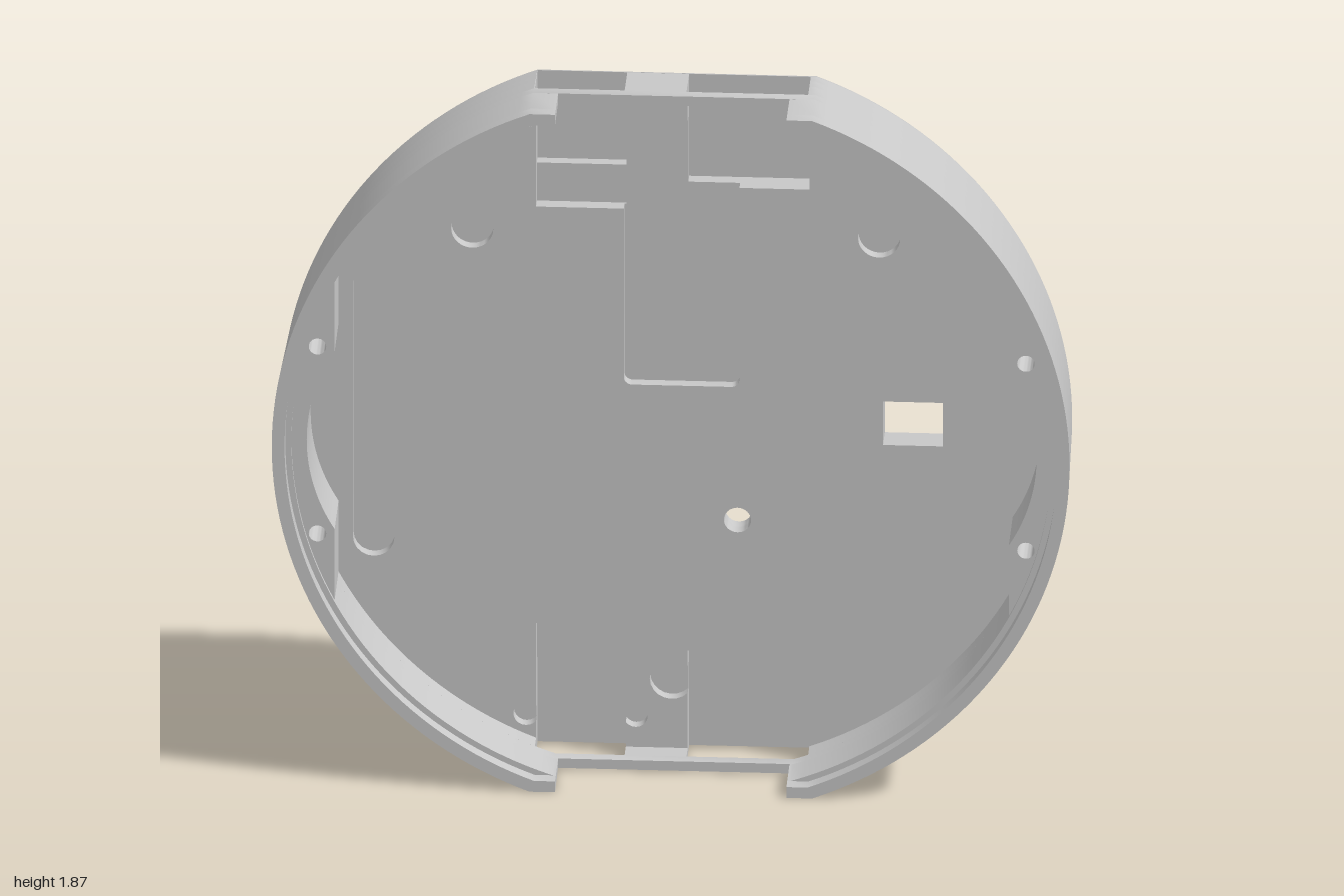
import * as THREE from 'three';
import { toCreasedNormals } from 'three/addons/utils/BufferGeometryUtils.js';

const C = 0.935;                 // height of the disc centre
const TOP = 2 * C;
const BACK = -0.146, FRONT = 0.146, FLOOR = -0.07;
const CORNER = Math.acos(0.354); // where the round side meets the flat
const deg = Math.PI / 180;

const arc = (cx, cy, r, a0, a1, n = 16) =>
  Array.from({ length: n + 1 }, (_, i) => {
    const a = a0 + ((a1 - a0) * i) / n;
    return [cx + r * Math.cos(a), cy + r * Math.sin(a)];
  });
const toPath = (pts, Type = THREE.Path) => new Type(pts.map(([x, y]) => new THREE.Vector2(x, y)));
const circle = (x, y, r) => arc(x, y, r, 0, 2 * Math.PI, 32).slice(0, -1);
const rect = (x0, y0, x1, y1) => [[x0, y0], [x1, y0], [x1, y1], [x0, y1]];
const slot = (x, y0, y1, r) => [
  ...arc(x, y0 + r, r, Math.PI, 2 * Math.PI, 10), ...arc(x, y1 - r, r, 0, Math.PI, 10)];

// Disc with two flats; extra points notch the top (right to left) and bottom (left to right)
const outline = (top = [], bottom = []) => [
  ...arc(0, C, 1, -CORNER, CORNER, 72), ...top,
  ...arc(0, C, 1, Math.PI - CORNER, Math.PI + CORNER, 72), ...bottom];

// One side of the wall, ending at x = xe on the flats
function wallSide(side, xe, ri) {
  const flat = 0.905;
  const a = xe < Math.sqrt(ri * ri - flat * flat) ? Math.asin(flat / ri) : Math.acos(xe / ri);
  const yi = ri * Math.sin(a);
  const pts = [...arc(0, C, 1, -CORNER, CORNER, 72), [xe, TOP], [xe, C + yi + 0.0005],
    ...arc(0, C, ri, a, -a, 72), [xe, C - yi - 0.0005], [xe, 0]];
  return pts.map(([x, y]) => [side * x, y]);
}

// Slight draft of the outer surface towards the back, with a tiny bevel on the back edge
function draft(geo) {
  const p = geo.attributes.position;
  for (let i = 0; i < p.count; i++) {
    const x = p.getX(i), y = p.getY(i), z = p.getZ(i);
    const k = 0.99 + (0.01 * (z - BACK)) / (FRONT - BACK) - (z < BACK + 0.001 ? 0.003 : 0);
    const onRound = Math.hypot(x, y - C) > 0.9995;
    const onFlat = Math.abs(y - C) > C - 0.0005;
    if (onRound) p.setX(i, x * k);
    if (onRound || onFlat) p.setY(i, C + (y - C) * k);
  }
  return geo;
}

export function createModel() {
  const group = new THREE.Group();
  const grey = new THREE.MeshStandardMaterial({ color: 0xc8c8c8 });
  grey.name = 'light grey plastic';

  function slab(name, pts, z0, z1, holes = []) {
    const shape = toPath(pts, THREE.Shape);
    shape.holes = holes.map((h) => toPath(h));
    const geo = new THREE.ExtrudeGeometry(shape, { depth: z1 - z0, bevelEnabled: false });
    geo.translate(0, 0, z0);
    const mesh = new THREE.Mesh(toCreasedNormals(draft(geo), 0.5), grey);
    mesh.name = name;
    group.add(mesh);
  }

  // Ventilation grooves on the back
  const grooves = [];
  const addGroove = (x, y0, y1) => grooves.push(slot(x, y0, y1, 0.022));
  const addSplit = (x, h, gap) => {
    if (!gap) return addGroove(x, C - h, C + h);
    addGroove(x, C - h, gap[0]);
    addGroove(x, gap[1], C + h);
  };
  for (let i = 0; i < 6; i++) {
    const x = 0.405 + 0.075 * i;
    const h = Math.min(0.79, Math.sqrt(0.94 * 0.94 - x * x));
    addSplit(x, h, i === 2 || i === 3 ? [0.85, 1.02] : null);
    addSplit(-x, h);
  }
  for (let i = 0; i < 10; i++) {
    addSplit(-0.336 + 0.0747 * i, 0.553, i === 6 || i === 7 ? [0.585, 0.745] : null);
  }

  // Holes shared by the plate layers
  const windowHole = rect(0.52, 0.88, 0.67, 1.0);
  const pinHole = circle(0.155, 0.663, 0.034);
  const screws = (r) => [1, -1].flatMap((s) => [1, -1].map((t) => circle(s * 0.888, C + t * 0.258, r)));

  // Connector pockets, open through the flats
  const topPockets = (yl) => [[0.335, TOP], [0.335, 1.58], [0.03, 1.58], [0.03, TOP],
    [-0.125, TOP], [-0.125, yl], [-0.35, yl], [-0.35, TOP]];
  const bottomPockets = (yl) => [[-0.35, 0], [-0.35, yl], [-0.125, yl], [-0.125, 0],
    [0.03, 0], [0.03, 0.3], [0.335, 0.3], [0.335, 0]];

  // Inner floor pockets, joined to the long channel and the finger recesses
  const floorTop = [[0.335, TOP], [0.335, 1.58], [0.16, 1.58], ...arc(0.14, 1.05, 0.02, 0, -90 * deg, 5),
    ...arc(-0.11, 1.05, 0.02, -90 * deg, -180 * deg, 5), [-0.13, 1.515], [-0.35, 1.515],
    ...arc(-0.375, 1.765, 0.032, 322 * deg, 38 * deg), [-0.35, TOP]];
  const floorBottom = [[-0.35, 0], ...arc(-0.375, 0.115, 0.032, 322 * deg, 38 * deg),
    [-0.35, 0.365], [-0.125, 0.365], ...arc(-0.1, 0.115, 0.03, 146 * deg, -146 * deg),
    [-0.125, 0], [0.03, 0], ...arc(-0.01, 0.22, 0.055, 317 * deg, 43 * deg),
    [0.03, 0.3], [0.335, 0.3], [0.335, 0]];

  // Back plate, layer by layer
  slab('backSkin', outline(), BACK, -0.135,
    [...grooves, ...screws(0.042), windowHole, circle(0.155, 0.663, 0.046)]);
  slab('groovedPlate', outline(topPockets(1.62), bottomPockets(0.255)), -0.135, -0.106,
    [...grooves, ...screws(0.022), windowHole, pinHole]);
  slab('middlePlate', outline(topPockets(1.515), bottomPockets(0.365)), -0.106, -0.1,
    [windowHole, pinHole]);
  slab('innerFloor', outline(floorTop, floorBottom), -0.1, FLOOR,
    [windowHole, pinHole, circle(0.51, 1.45, 0.053), circle(-0.51, 1.45, 0.053),
      slot(-0.757, 0.54, 1.345, 0.052)]);
  slab('channelEnd', [[-0.07, 1.76], [0.03, 1.76], [0.03, TOP], [-0.125, TOP],
    ...arc(-0.1, 1.765, 0.03, 146 * deg, 0, 10)], -0.1, FLOOR);

  // Wall around the connector openings
  const RI = 0.953;
  slab('lowerWallLeft', wallSide(1, 0.335, RI), FLOOR, -0.02);
  slab('lowerWallRight', wallSide(-1, 0.35, RI), FLOOR, -0.02);
  slab('topDivider', rect(-0.125, 1.84, 0.03, TOP), FLOOR, -0.02);
  slab('bottomDivider', rect(-0.125, 0, 0.03, 0.03), FLOOR, -0.02);
  const ai = Math.asin(0.905 / RI);
  slab('wallBand', outline(), -0.02, 0.01,
    [[...arc(0, C, RI, -ai, ai, 72), ...arc(0, C, RI, Math.PI - ai, Math.PI + ai, 72)]]);

  for (const side of [1, -1]) {
    const label = side > 0 ? 'Left' : 'Right';
    // Upper wall, stepped at the rim
    slab('upperWall' + label, wallSide(side, 0.29, RI), 0.01, 0.11);
    slab('rim' + label, wallSide(side, 0.29, 0.968), 0.11, FRONT);

    // Screw block with a hollowed inner face
    const b = Math.acos(0.845 / 0.956), h = Math.asin(0.245 / 0.464);
    const block = [...arc(0, C, 0.956, -b, b, 32), ...arc(0.451, C, 0.464, h, -h, 32)];
    slab('screwBlock' + label, block.map(([x, y]) => [side * x, y]), FLOOR, 0.1,
      [1, -1].map((t) => circle(side * 0.888, C + t * 0.258, 0.022)));
  }
  return group;
}
